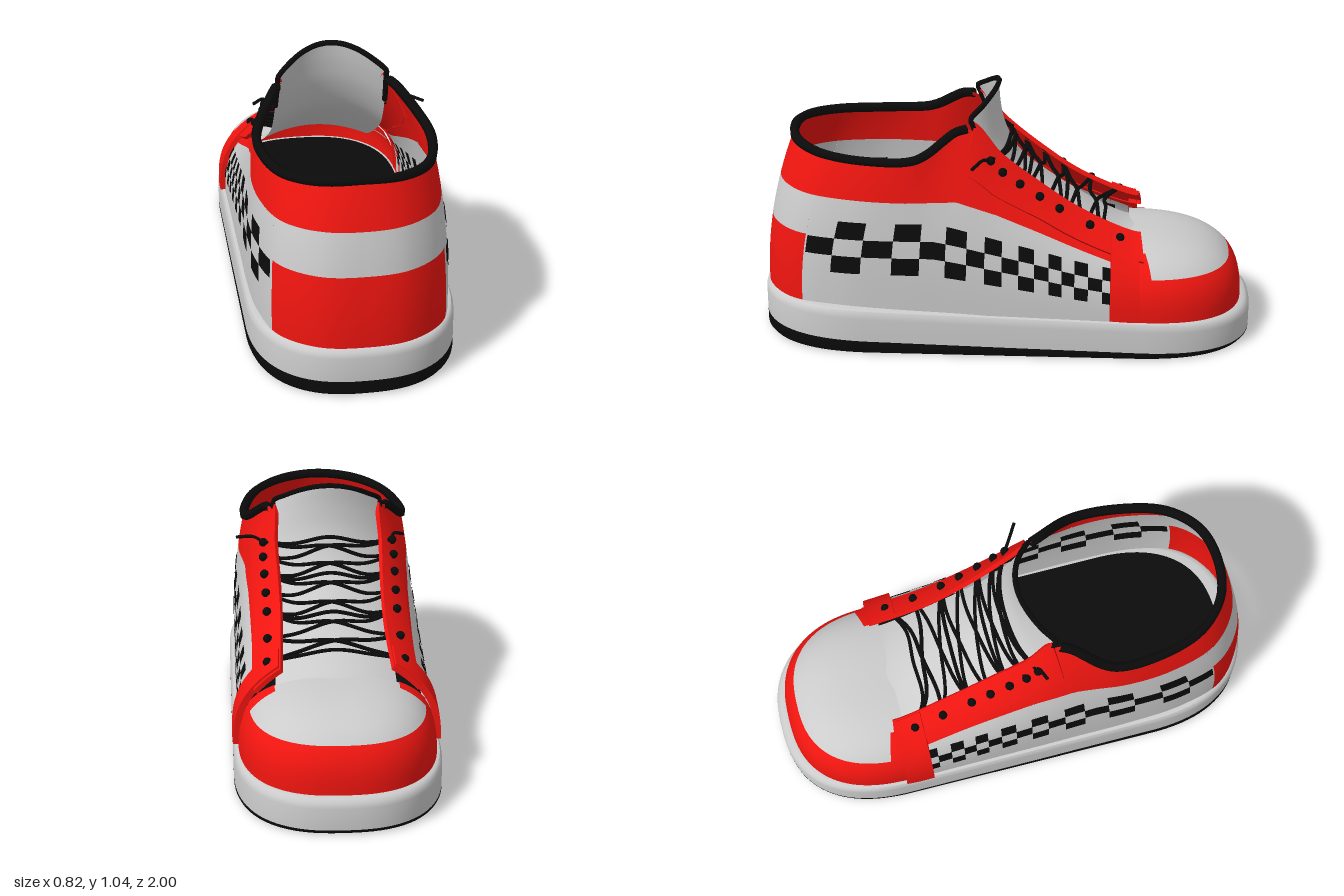
import * as THREE from 'three';
import { toCreasedNormals } from 'three/addons/utils/BufferGeometryUtils.js';

const V = (x, y, z) => new THREE.Vector3(x, y, z);
const mat = (color) => new THREE.MeshStandardMaterial({ color, side: THREE.DoubleSide });
const RED = mat(0xf01510), WHITE = mat(0xcccccc), BLACK = mat(0x0b0b0b);

// Smooth surface from a function of u, v in 0..1
function grid(nu, nv, fn) {
  const pos = [], idx = [];
  for (let j = 0; j <= nv; j++)
    for (let i = 0; i <= nu; i++) pos.push(...fn(i / nu, j / nv, i, j).toArray());
  for (let j = 0; j < nv; j++)
    for (let i = 0; i < nu; i++) {
      const a = j * (nu + 1) + i, c = a + nu + 1;
      idx.push(a, a + 1, c + 1, a, c + 1, c);
    }
  const g = new THREE.BufferGeometry();
  g.setAttribute('position', new THREE.Float32BufferAttribute(pos, 3));
  g.setIndex(idx);
  g.computeVertexNormals();
  return g;
}

// Half outlines of the upper from heel centre forward: bottom edge and top edge
const BOTTOM = [[0, .2, .985], [.17, .2, .96], [.31, .2, .85], [.37, .2, .66], [.385, .19, .42], [.385, .18, .2],
  [.385, .17, .03], [.385, .165, -.14], [.385, .16, -.3], [.385, .15, -.5], [.375, .15, -.62]];
const TOP = [[0, .83, .86], [.15, .82, .83], [.265, .805, .72], [.325, .795, .52], [.325, .805, .34], [.225, .9, .15],
  [.225, .77, .02], [.22, .655, -.13], [.22, .55, -.29], [.23, .46, -.5], [.23, .45, -.58]];
const BAND = [.65, .65, .645, .64, .635, .635, .58, .51, .44, .36, .34];
const N = 10;
const mirrored = (pts) => new THREE.CatmullRomCurve3([
  ...pts.slice(1).reverse().map(([x, y, z]) => V(-x, y, z)), ...pts.map((p) => V(...p))]);
const bottomCurve = mirrored(BOTTOM), topCurve = mirrored(TOP);
const at = (curve, t) => curve.getPoint(THREE.MathUtils.clamp((t + N) / (2 * N), 0, 1));

// Point on the upper wall: t runs -10..10 around the heel, v from sole to top edge
function wallPoint(t, v) {
  const b = at(bottomCurve, t), p = at(topCurve, t);
  const w = Math.pow(Math.max(v, 0), 2 + Math.abs(t) / 9);
  return V(b.x + (p.x - b.x) * w, b.y + (p.y - b.y) * v, b.z + (p.z - b.z) * w);
}
function wall(t, v, off = 0) {
  const p = wallPoint(t, v);
  if (!off) return p;
  const du = wallPoint(t + .02, v).sub(wallPoint(t - .02, v));
  const dv = wallPoint(t, v + .02).sub(wallPoint(t, v - .02));
  return p.addScaledVector(du.cross(dv).normalize(), off);
}
const vAt = (t, y) => {
  const b = at(bottomCurve, t).y;
  return (y - b) / (at(topCurve, t).y - b);
};
const bandV = (t) => {
  const a = Math.min(Math.abs(t), N - .001), i = Math.floor(a);
  return vAt(t, BAND[i] + (BAND[i + 1] - BAND[i]) * (a - i));
};
const heelV = (t) => vAt(t, .485);
const zero = () => 0, one = () => 1;

// Wall region between two height rules; thick regions get a rim down to the wall
function patch(t0, t1, lo, hi, nu, nv, off = 0, thick = false) {
  const pad = thick ? 1 : 0;
  const g = grid(nu + 2 * pad, nv + 2 * pad, (_, __, i, j) => {
    const u = THREE.MathUtils.clamp((i - pad) / nu, 0, 1), v = THREE.MathUtils.clamp((j - pad) / nv, 0, 1);
    const rim = thick && (i === 0 || j === 0 || i === nu + 2 || j === nv + 2);
    const t = t0 + (t1 - t0) * u;
    return wall(t, lo(t) + (hi(t) - lo(t)) * v, rim ? -.005 : off);
  });
  return thick ? toCreasedNormals(g, .8) : g;
}

const spow = (x, p) => Math.sign(x) * Math.pow(Math.abs(x), p);

// Rounded toe box: s runs -1..1 around the toe, phi climbs to the crown
function toe(s, phi, grow = 1) {
  const a = s * Math.PI / 2, k = Math.pow(Math.max(Math.cos(phi), 0), .714) * grow;
  return V(-.385 * spow(Math.sin(a), .8) * k, .14 + .28 * Math.pow(Math.sin(phi), .714) * grow,
    -.5 - .46 * Math.pow(Math.max(Math.cos(a), 0), .8) * k);
}
const toePatch = (s0, s1, p0, p1, nu, nv, grow) =>
  grid(nu, nv, (u, v) => toe(s0 + (s1 - s0) * u, p0 + (p1 - p0) * v, grow));

// Sole layers: rings of [scale, height rule]
function soleLayer(rings) {
  const g = grid(96, rings.length - 1, (u, _, __, j) => {
    const a = u * Math.PI * 2, [k, h] = rings[j], c = Math.cos(a);
    const z = (.5 * Math.sign(Math.abs(c) < 1e-6 ? 0 : c) + .5 * spow(c, .8)) * k;
    return V(.405 * spow(Math.sin(a), .8) * k, h(z), z);
  });
  return toCreasedNormals(g, .7);
}
const soleTop = (z) => .17 + .028 * z, treadTop = (z) => .042 + .022 * z;

// Tongue: u runs -1..1 across, v from toe to tip
const tongueSpine = new THREE.CatmullRomCurve3([[.405, -.62], [.43, -.48], [.51, -.33], [.61, -.18], [.72, -.05],
  [.84, .01], [.94, .03], [1.025, .035]].map(([y, z]) => V(0, y, z)));
function tongue(u, v) {
  const p = tongueSpine.getPoint(v);
  return V(-u * (.24 - .025 * v), p.y - u * u * (.05 + .04 * v), p.z + .1 * u * u * v * v);
}

const tube = (pts, r, seg = 24) =>
  new THREE.TubeGeometry(new THREE.CatmullRomCurve3(pts), seg, r, 6, false);

export function createModel() {
  const model = new THREE.Group();
  const add = (name, geometry, material, parent = model) => {
    const m = new THREE.Mesh(geometry, material);
    m.name = name;
    parent.add(m);
    return m;
  };
  const group = (name) => {
    const g = new THREE.Group();
    g.name = name;
    model.add(g);
    return g;
  };

  // Sole
  add('outsole', soleLayer([[0, () => 0], [.97, () => 0], [.99, () => .004], [1, () => .015], [1, treadTop]]), BLACK);
  add('midsole', soleLayer([[1, treadTop], [1, (z) => soleTop(z) - .035], [.995, (z) => soleTop(z) - .015],
    [.98, (z) => soleTop(z) - .003], [.96, soleTop], [0, soleTop]]), WHITE);
  add('insole', soleLayer([[.92, (z) => soleTop(z) + .012], [0, (z) => soleTop(z) + .012]]), BLACK);

  // Upper wall in coloured bands
  add('heelCounter', patch(-2.25, 2.25, zero, heelV, 40, 10), RED);
  add('heelStripe', patch(-2.25, 2.25, heelV, bandV, 40, 6), WHITE);
  add('collarBand', patch(-9, 9, bandV, one, 144, 10), RED);

  const checks = group('checkerboard');
  const eyelets = group('eyelets');
  for (const s of [1, -1]) {
    add('sidePanel', patch(s * 2.25, s * 9, zero, bandV, 60, 14), WHITE);

    // Three rows of checks shrinking toward the toe, on both faces of the wall
    const column = (k) => { const q = k / 16; return 2.3 + 6.4 * (1.4 * q - .4 * q * q); };
    const rowV = (t, r) => {
      const f = Math.max(0, (Math.abs(t) - 4.6) / 4.1);
      return vAt(t, .34 - .11 * f + r * (.071 - .026 * f));
    };
    for (let k = 0; k < 16; k++)
      for (let r = 0; r < 3; r++)
        if ((k + r) % 2)
          for (const off of [.004, -.004])
            add('check', patch(s * column(k), s * column(k + 1), (t) => rowV(t, r), (t) => rowV(t, r + 1), 4, 2, off),
              BLACK, checks);

    // Raised lacing panel and the strap beside the toe
    add('laceStay', patch(s * 5.15, s * 9.5, (t) => .8 - .012 * Math.abs(t - s * 7), () => 1.04, 40, 5, .014, true), RED);
    add('toeStrap', patch(s * 8.6, s * 9.3, () => .05, () => 1.03, 8, 16, .022, true), RED);
    add('toeCorner', toePatch(s * .91, s, .56, 1.03, 8, 10, 1.008), RED);
  }

  // Toe box
  add('toeGuard', toePatch(-1, 1, 0, .565, 64, 10), RED);
  add('toeCap', toePatch(-1, 1, .565, Math.PI / 2, 64, 16), WHITE);

  // Collar binding
  const rim = [];
  for (let t = -5; t <= 5.001; t += .25) rim.push(at(topCurve, t));
  add('collarBinding', tube(rim, .02, 120), BLACK);

  // Tongue with a bound edge
  add('tongue', grid(20, 36, (u, v) => tongue(u * 2 - 1, v)), WHITE);
  const edge = [];
  for (const v of [.74, .82, .9, .97]) edge.push(tongue(-1, v));
  for (let u = -1; u <= 1.001; u += .25) edge.push(tongue(u, 1));
  for (const v of [.97, .9, .82, .74]) edge.push(tongue(1, v));
  add('tongueBinding', tube(edge, .011, 80), BLACK);

  // Eyelets and criss-cross laces lying over the tongue
  const rows = [5.7, 6.05, 6.5, 7, 7.5, 8.2, 8.75];
  const hole = (i, s) => wall(s * rows[i], .94, .02);
  const over = (u, i) => tongue(u, (4.75 - .52 * i) / 7).add(V(0, .016, -.016));
  const laces = group('laces');
  rows.forEach((_, i) => {
    for (const s of [1, -1]) {
      const e = add('eyelet', new THREE.SphereGeometry(.018, 10, 8), BLACK, eyelets);
      e.position.copy(hole(i, s));
      if (i < rows.length - 1)
        add('lace', tube([hole(i, s), over(-s * .65, i + .2), over(0, i + .5), over(s * .65, i + .8), hole(i + 1, -s)],
          .008), BLACK, laces);
    }
    if (i % 2 === 0)
      add('lace', tube([hole(i, 1), over(-.65, i), over(0, i), over(.65, i), hole(i, -1)], .008), BLACK, laces);
  });
  add('looseEnd', tube([hole(0, 1), V(.3, .8, .08), V(.37, .787, .12)], .007), BLACK, laces);
  add('looseEnd', tube([hole(0, -1), V(-.27, .81, .06), V(-.31, .8, .08)], .007), BLACK, laces);

  return model;
}
